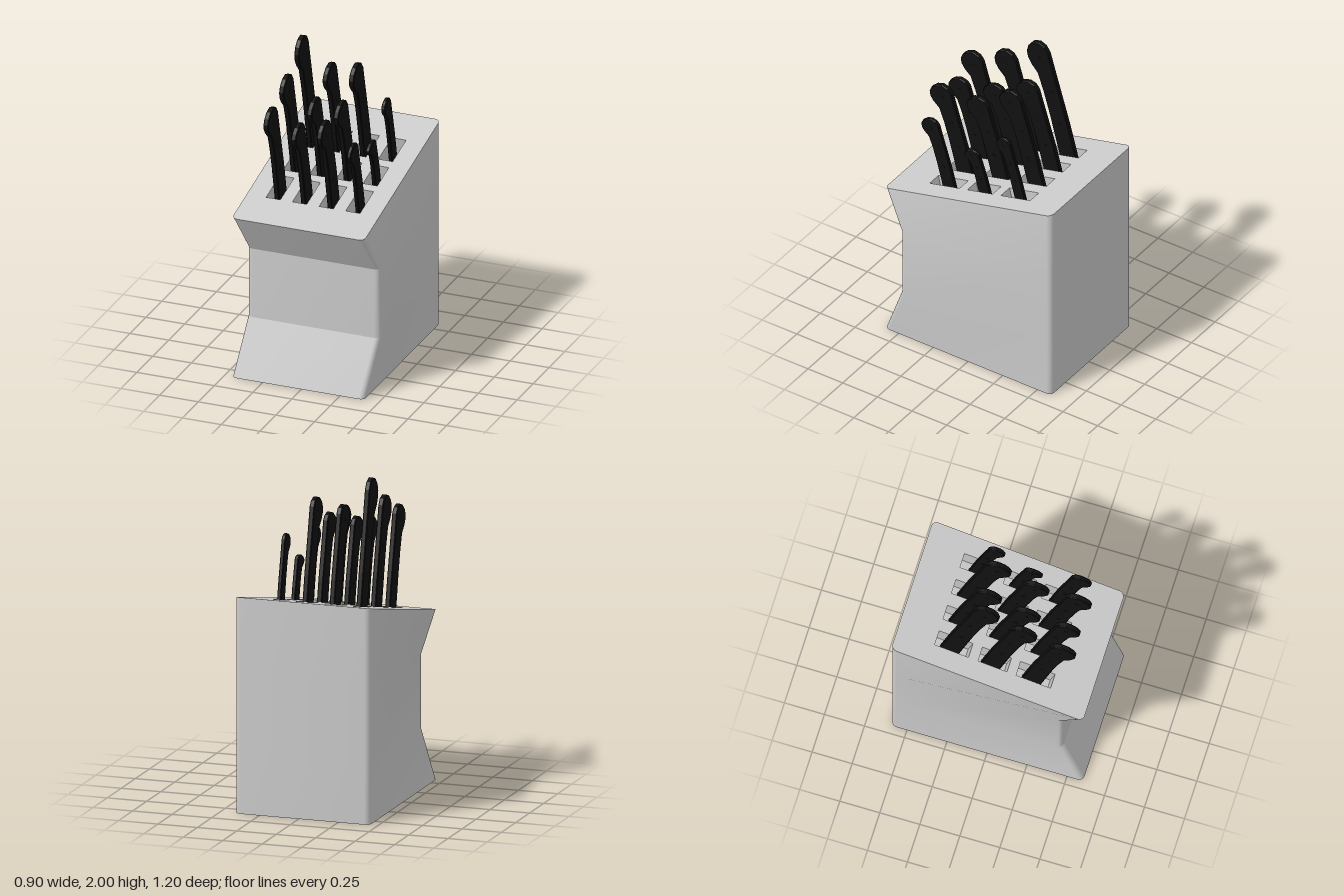
import * as THREE from 'three';
import { toCreasedNormals } from 'three/addons/utils/BufferGeometryUtils.js';

const SLOPE = 0.24, TILT = Math.atan(SLOPE);
const topY = z => 1.189 - SLOPE * z;

const grey = new THREE.MeshStandardMaterial({ color: 0xcccccc });
const greyDouble = new THREE.MeshStandardMaterial({ color: 0xcccccc, side: THREE.DoubleSide });
const greyInside = new THREE.MeshStandardMaterial({ color: 0xcccccc, side: THREE.BackSide });
const black = new THREE.MeshStandardMaterial({ color: 0x111111 });

// Columns (x) and rows (z centre, slot length seen from above)
const columns = [-0.28, -0.11, 0.062, 0.234];
const rows = [
  { z: -0.259, len: 0.211 },
  { z: -0.003, len: 0.181 },
  { z: 0.252, len: 0.215 },
];
const SLOT_W = 0.092, SLOT_DEPTH = 0.13;

// Handle length above the block, per row and column
const lengths = [
  [0.773, 0.598, 0.63, 0.397],
  [0.672, 0.53, 0.54, 0.27],
  [0.617, 0.53, 0.585, 0.447],
];
const widths = [[1, 1, 1, 0.65], [1, 1, 1, 0.7], [1, 0.95, 1, 0.8]];

// Levels of the block: front and back height, front depth, sideways shift of the front
const levels = [
  { yf: 0, yb: 0, zf: 0.6, dx: 0 },
  { yf: 0.35, yb: 0.43, zf: 0.46, dx: 0.043 },
  { yf: 0.8, yb: 0.89, zf: 0.46, dx: 0.043 },
  { yf: 1.045, yb: 1.333, zf: 0.6, dx: 0 },
];

// Rounded outline of one level, counter-clockwise from above
function ring({ yf, yb, zf, dx }) {
  const r = 0.035, seg = 6, pts = [];
  const corners = [[-0.45 + dx + r, zf - r], [0.405 + dx - r, zf - r], [0.405 - r, -0.6 + r], [-0.45 + r, -0.6 + r]];
  corners.forEach(([cx, cz], i) => {
    for (let k = 0; k <= seg; k++) {
      const a = Math.PI + (i + k / seg) * Math.PI / 2;
      const z = cz - r * Math.sin(a);
      pts.push(new THREE.Vector3(cx + r * Math.cos(a), yf + (yb - yf) * (zf - z) / (zf + 0.6), z));
    }
  });
  return pts;
}

function blockSides() {
  const rings = levels.map(ring), n = rings[0].length, index = [];
  for (let i = 0; i < rings.length - 1; i++) {
    for (let j = 0; j < n; j++) {
      const a = i * n + j, b = i * n + (j + 1) % n;
      index.push(a, b, b + n, a, b + n, a + n);
    }
  }
  const geo = new THREE.BufferGeometry().setFromPoints(rings.flat());
  geo.setIndex(index);
  return toCreasedNormals(geo, 0.3);
}

// Flat cap over a level, with optional slot holes
function cap(level, height, withSlots) {
  const shape = new THREE.Shape(ring(level).map(p => new THREE.Vector2(p.x, -p.z)));
  if (withSlots) {
    for (const x of columns) for (const { z, len } of rows) {
      const w = SLOT_W / 2, h = len / 2;
      shape.holes.push(new THREE.Path([[-w, -h], [-w, h], [w, h], [w, -h]]
        .map(([u, v]) => new THREE.Vector2(x + u, -z + v))));
    }
  }
  const geo = new THREE.ShapeGeometry(shape), pos = geo.attributes.position;
  for (let i = 0; i < pos.count; i++) {
    const z = -pos.getY(i);
    pos.setXYZ(i, pos.getX(i), height(z), z);
  }
  geo.computeVertexNormals();
  return geo;
}

// Open-topped box seen from inside
function slotGeometry(len) {
  const geo = new THREE.BoxGeometry(SLOT_W, SLOT_DEPTH, len / Math.cos(TILT));
  const index = Array.from(geo.index.array);
  index.splice(12, 6);
  geo.setIndex(index);
  return geo.translate(0, -SLOT_DEPTH / 2, 0);
}

// Flat grip with a bulb at the end that hooks towards the front
function handleGeometry(length, width, thickness) {
  const s = length / 0.773, bevel = 0.005;
  const outline = [
    [0.06, 0], [0.062, 0.25], [0.068, 0.42], [0.08, 0.55], [0.112, 0.61], [0.125, 0.655],
    [0.122, 0.7], [0.1, 0.74], [0.062, 0.768], [0.015, 0.773], [-0.022, 0.745], [-0.039, 0.698],
    [-0.042, 0.6], [-0.05, 0.4], [-0.058, 0.2], [-0.06, 0],
  ].map(([a, b]) => new THREE.Vector2(a * width, b * s));
  const foot = -SLOT_DEPTH + 0.01;
  outline.unshift(new THREE.Vector2(0.06 * width, foot));
  outline.push(new THREE.Vector2(-0.06 * width, foot));
  const geo = new THREE.ExtrudeGeometry(new THREE.Shape(outline), {
    depth: thickness - 2 * bevel, bevelEnabled: true, bevelThickness: bevel,
    bevelSize: bevel, bevelOffset: -bevel, bevelSegments: 1,
  });
  return geo.translate(0, 0, bevel - thickness / 2).rotateY(-Math.PI / 2);
}

function knife(length, width, thickness) {
  const group = new THREE.Group();
  group.name = 'knife';
  const handle = new THREE.Mesh(handleGeometry(length, width, thickness), black);
  handle.name = 'knifeHandle';
  group.add(handle);
  // Rivets through the grip
  for (const [a, t] of [[0.005, 0.25], [0.01, 0.55], [0.04, 0.85]]) {
    const rivet = new THREE.Mesh(new THREE.CylinderGeometry(0.012 * width, 0.012 * width, thickness + 0.003, 12), black);
    rivet.name = 'rivet';
    rivet.rotation.z = Math.PI / 2;
    rivet.position.set(0, t * length, a * width);
    group.add(rivet);
  }
  return group;
}

export function createModel() {
  const model = new THREE.Group();
  model.name = 'knifeBlock';
  const add = (name, geo, mat) => {
    const mesh = new THREE.Mesh(geo, mat);
    mesh.name = name;
    model.add(mesh);
    return mesh;
  };

  // Block
  add('blockSides', blockSides(), grey);
  add('blockTop', cap(levels[3], topY, true), grey);
  add('blockBottom', cap(levels[0], () => 0, false), greyDouble);

  // Slots and knives, square to the sloping top
  rows.forEach(({ z, len }, r) => columns.forEach((x, c) => {
    const slot = add('slot', slotGeometry(len), greyInside);
    slot.position.set(x, topY(z), z);
    slot.rotation.x = TILT;

    const k = knife(lengths[r][c], widths[r][c], c === 3 ? 0.025 : 0.032);
    k.position.set(x, topY(z), z);
    k.rotation.set(TILT, 0, -0.017);
    model.add(k);
  }));
  return model;
}
